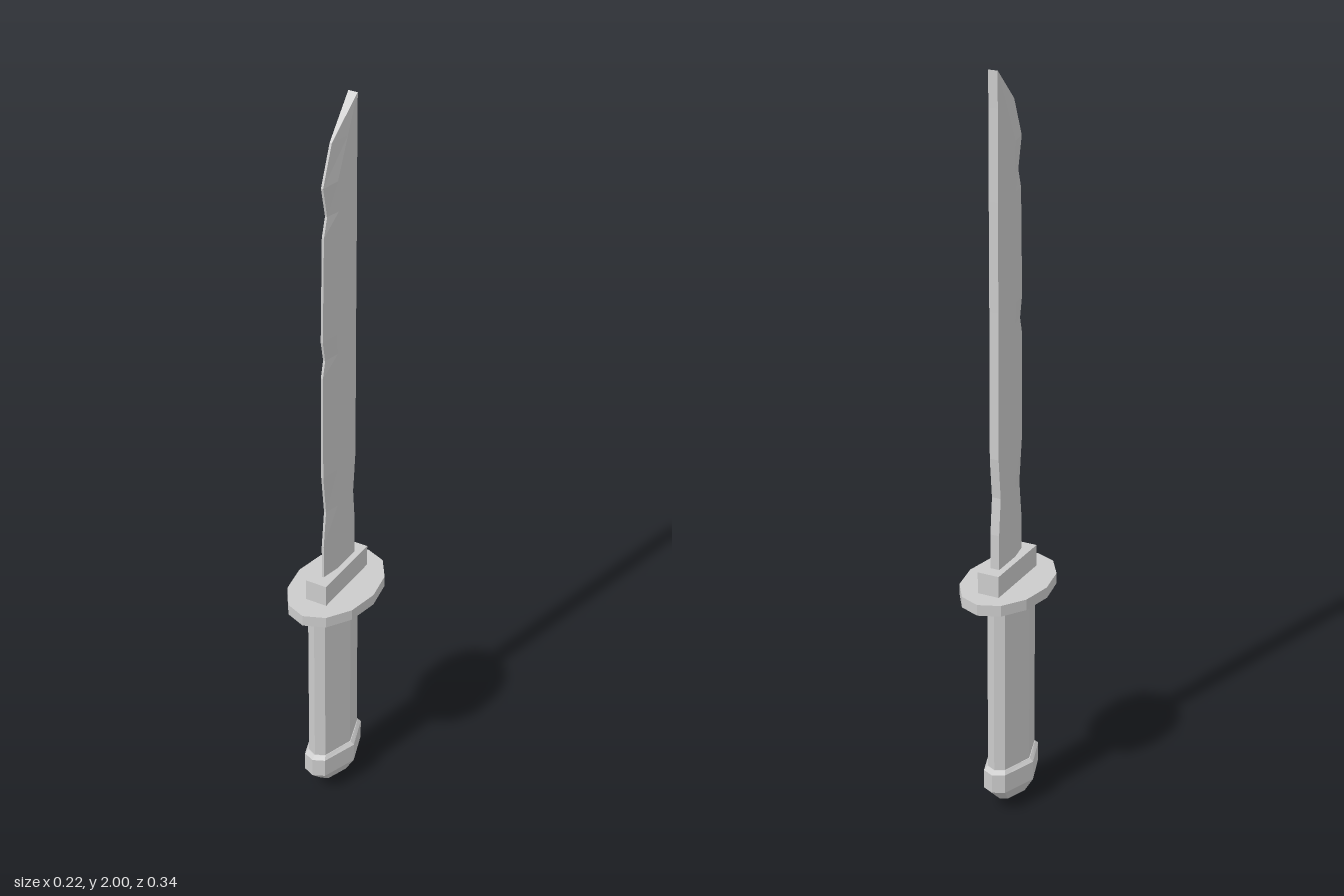
import * as THREE from 'three';

const material = new THREE.MeshStandardMaterial({ color: 0xcccccc, flatShading: true });

// Skin a stack of horizontal rings ([x, y, z] points, counter-clockwise from above) and cap both ends.
function loft(rings) {
  const n = rings[0].length;
  const index = [];
  for (let r = 0; r < rings.length - 1; r++) {
    for (let i = 0; i < n; i++) {
      const a = r * n + i, b = r * n + (i + 1) % n;
      index.push(a, b, b + n, a, b + n, a + n);
    }
  }
  const top = (rings.length - 1) * n;
  for (let i = 1; i < n - 1; i++) {
    index.push(0, i + 1, i, top, top + i, top + i + 1);
  }
  const geometry = new THREE.BufferGeometry();
  geometry.setAttribute('position', new THREE.Float32BufferAttribute(rings.flat(2), 3));
  geometry.setIndex(index);
  geometry.computeVertexNormals();
  return geometry;
}

// Eight-sided grip outline: broad flanks with narrow facets at front and back.
function gripRing(y, halfWidth, halfDepth) {
  const outline = [[0, 1], [0.48, 0.87], [1, 0], [0.48, -0.87], [0, -1], [-0.48, -0.87], [-1, 0], [-0.48, 0.87]];
  return outline.map(([x, z]) => [x * halfWidth, y, z * halfDepth]);
}

// Blade section: flat spine, parallel flanks, bevel down to a narrow edge.
function bladeRing([y, spine, bevel, edge, edgeHalf = 0.003]) {
  const h = 0.0125;
  return [[edgeHalf, y, edge], [h, y, bevel], [h, y, spine],
    [-h, y, spine], [-h, y, bevel], [-edgeHalf, y, edge]];
}

export function createModel() {
  const model = new THREE.Group();
  const add = (name, geometry, x, y, z) => {
    const mesh = new THREE.Mesh(geometry, material);
    mesh.name = name;
    mesh.position.set(x, y, z);
    model.add(mesh);
  };

  // Chipped blade: height, spine z, bevel z, edge z
  const sections = [
    [0.69, -0.075, 0.015, 0.067],
    [0.80, -0.075, 0.015, 0.067],
    [0.90, -0.066, 0.012, 0.055],
    [1.01, -0.077, 0.015, 0.068],
    [1.30, -0.077, 0.015, 0.068],
    [1.345, -0.077, 0.012, 0.057],
    [1.40, -0.077, 0.015, 0.068],
    [1.68, -0.078, 0.013, 0.061],
    [1.73, -0.078, 0.008, 0.046],
    [1.81, -0.078, 0.012, 0.064],
    [1.91, -0.078, -0.035, 0.024],
    [2.00, -0.079, -0.0785, -0.078, 0.0125],
  ];
  add('blade', loft(sections.map(bladeRing)), 0, 0, 0);

  // Collar and oval guard
  add('bladeCollar', new THREE.BoxGeometry(0.06, 0.062, 0.213), 0, 0.674, -0.005);
  const guard = new THREE.CylinderGeometry(1, 1, 0.03, 12);
  guard.scale(0.112, 1, 0.171);
  add('guard', guard, 0, 0.631, -0.001);

  // Grip and pommel sit slightly to one side of the blade
  add('grip', loft([gripRing(0.12, 0.053, 0.098), gripRing(0.617, 0.053, 0.098)]), -0.01, 0, -0.002);
  const pommel = [
    [0, 0.001, 0.001],
    [0.025, 0.04, 0.067],
    [0.067, 0.065, 0.112],
    [0.12, 0.065, 0.112],
    [0.129, 0.055, 0.1],
  ];
  add('pommel', loft(pommel.map((p) => gripRing(...p))), -0.01, 0, -0.002);

  return model;
}
